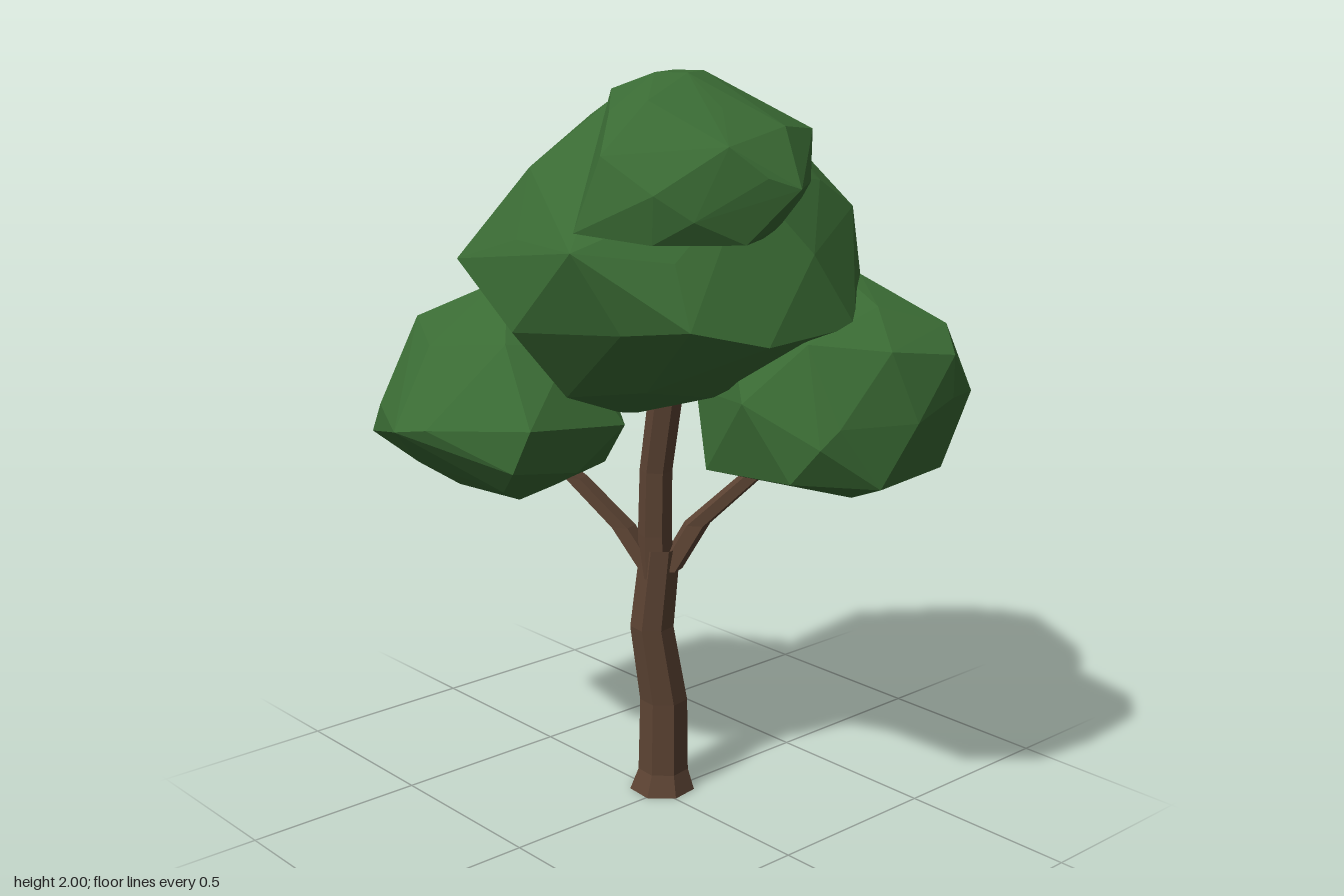
import * as THREE from 'three';
import { ConvexGeometry } from 'three/addons/geometries/ConvexGeometry.js';

const leafGreen = new THREE.MeshStandardMaterial({ color: 0x3a6b34, flatShading: true });
leafGreen.name = 'leafGreen';
const barkBrown = new THREE.MeshStandardMaterial({ color: 0x5c4333, flatShading: true, side: THREE.DoubleSide });
barkBrown.name = 'barkBrown';

// Faceted clump: hull over level rings [y, xMin, xMax, zMin, zMax], plus a few jutting corners [x, y, z]
function clump(name, rings, corners, seed) {
  const points = corners.map((c) => new THREE.Vector3(...c));
  rings.forEach(([y, x0, x1, z0, z1], level) => {
    const end = level === 0 || level === rings.length - 1;
    const n = end ? 4 : 7;
    const ring = [];
    for (let i = 0; i < n; i++) {
      const a = ((i + (level % 2) * 0.5) / n) * Math.PI * 2 + seed + 0.12 * Math.sin(i * 5 + level * 3 + seed);
      ring.push([Math.cos(a), Math.sin(a)]);
    }
    const range = (k) => [Math.min(...ring.map((p) => p[k])), Math.max(...ring.map((p) => p[k]))];
    const [u0, u1] = range(0), [v0, v1] = range(1);
    ring.forEach(([u, v], i) => {
      const lift = end ? 0 : 0.022 * Math.sin(i * 2.7 + level * 1.9 + seed);
      points.push(new THREE.Vector3(
        THREE.MathUtils.mapLinear(u, u0, u1, x0, x1),
        y + lift,
        THREE.MathUtils.mapLinear(v, v0, v1, z0, z1)
      ));
    });
  });
  const mesh = new THREE.Mesh(new ConvexGeometry(points), leafGreen);
  mesh.name = name;
  return mesh;
}

// Faceted open limb through level sections [x, y, z, radius]
function limb(name, sections, sides, turn = 0.3) {
  const pos = [], index = [];
  for (const [x, y, z, r] of sections) {
    for (let i = 0; i < sides; i++) {
      const a = (i / sides) * Math.PI * 2 + turn;
      pos.push(x + Math.cos(a) * r, y, z + Math.sin(a) * r);
    }
  }
  for (let s = 0; s < (sections.length - 1) * sides; s += sides) {
    for (let i = 0; i < sides; i++) {
      const j = (i + 1) % sides;
      index.push(s + i, s + sides + i, s + sides + j, s + i, s + sides + j, s + j);
    }
  }
  const geometry = new THREE.BufferGeometry();
  geometry.setAttribute('position', new THREE.Float32BufferAttribute(pos, 3));
  geometry.setIndex(index);
  geometry.computeVertexNormals();
  const mesh = new THREE.Mesh(geometry, barkBrown);
  mesh.name = name;
  return mesh;
}

export function createModel() {
  const tree = new THREE.Group();
  tree.name = 'tree';

  // Trunk with a flared foot and a gentle bend
  tree.add(limb('trunk', [
    [-0.029, 0, -0.03, 0.092], [-0.027, 0.06, -0.032, 0.071], [-0.025, 0.27, -0.032, 0.067],
    [-0.038, 0.49, 0, 0.061], [-0.015, 0.72, -0.01, 0.056],
  ], 7));

  // Stem and two side branches
  tree.add(limb('centreStem', [
    [-0.02, 0.64, 0, 0.05], [-0.02, 0.76, 0.005, 0.046], [-0.012, 0.94, 0.008, 0.044], [0.035, 1.2, 0.008, 0.046],
  ], 6));
  tree.add(limb('rightBranch', [
    [-0.04, 0.66, 0.01, 0.036], [-0.11, 0.77, 0.045, 0.037], [-0.22, 0.9, 0.12, 0.034], [-0.32, 1, 0.2, 0.028],
  ], 5));
  tree.add(limb('leftBranch', [
    [0.01, 0.66, -0.02, 0.036], [0.06, 0.79, -0.075, 0.037], [0.19, 0.94, -0.16, 0.033], [0.3, 1.03, -0.22, 0.028],
  ], 5));

  // Foliage
  tree.add(clump('mainFoliage', [
    [1.13, -0.01, 0.05, 0.07, 0.16], [1.21, -0.2, 0.27, -0.14, 0.31], [1.39, -0.43, 0.51, -0.48, 0.38],
    [1.58, -0.45, 0.49, -0.46, 0.41], [1.74, -0.38, 0.38, -0.4, 0.29], [1.86, -0.24, 0.22, -0.3, 0.17],
    [1.955, -0.02, 0.02, 0.05, 0.11],
  ], [
    [-0.36, 1.51, 0.39], [-0.13, 1.69, 0.33], [0.2, 1.6, 0.465], [-0.05, 1.37, 0.45], [0.43, 1.42, 0.29],
    [0.53, 1.39, -0.17], [-0.1, 1.46, -0.545], [-0.31, 1.56, -0.38], [0.02, 1.84, -0.39], [0.29, 1.64, -0.41],
    [-0.24, 1.89, -0.16],
  ], 0.3));
  tree.add(clump('topFoliage', [
    [1.62, 0.14, 0.42, -0.04, 0.33], [1.67, 0.06, 0.46, -0.13, 0.36], [1.76, 0, 0.52, -0.17, 0.34],
    [1.86, -0.03, 0.43, -0.17, 0.3], [1.93, -0.02, 0.34, -0.08, 0.25], [2, 0.1, 0.2, 0.01, 0.14],
  ], [
    [0.56, 1.75, 0.06], [0.2, 1.82, 0.37], [0.46, 1.85, 0.2], [0.17, 1.64, 0.43], [0.36, 1.86, -0.18],
    [0.48, 1.62, 0.16], [0.34, 1.68, -0.16], [0.26, 1.79, -0.22],
  ], 1.1));
  tree.add(clump('rightFoliage', [
    [0.87, -0.46, -0.22, 0.15, 0.34], [0.95, -0.67, -0.06, 0, 0.5], [1.1, -0.71, -0.02, -0.06, 0.57],
    [1.29, -0.66, -0.13, 0, 0.43], [1.43, -0.38, -0.34, 0.2, 0.25],
  ], [
    [-0.36, 1.08, 0.605], [-0.67, 1, 0.47], [-0.06, 1, 0.45], [-0.67, 1.31, 0.16], [-0.6, 1.12, 0.01],
    [-0.45, 1.15, -0.06],
  ], 2.2));
  tree.add(clump('leftFoliage', [
    [0.89, 0.32, 0.4, -0.39, -0.31], [1.01, 0.06, 0.67, -0.52, 0.04], [1.19, 0.03, 0.7, -0.57, 0.08],
    [1.36, 0.09, 0.66, -0.51, -0.02], [1.48, 0.31, 0.38, -0.35, -0.28],
  ], [
    [0.12, 1.16, -0.565], [0.31, 1.23, -0.605], [0.65, 1.2, -0.48], [0.71, 1.17, -0.21], [0.6, 1.12, 0.02],
    [0.7, 1.32, -0.35], [0.53, 1.43, -0.25],
  ], 0.7));

  return tree;
}
